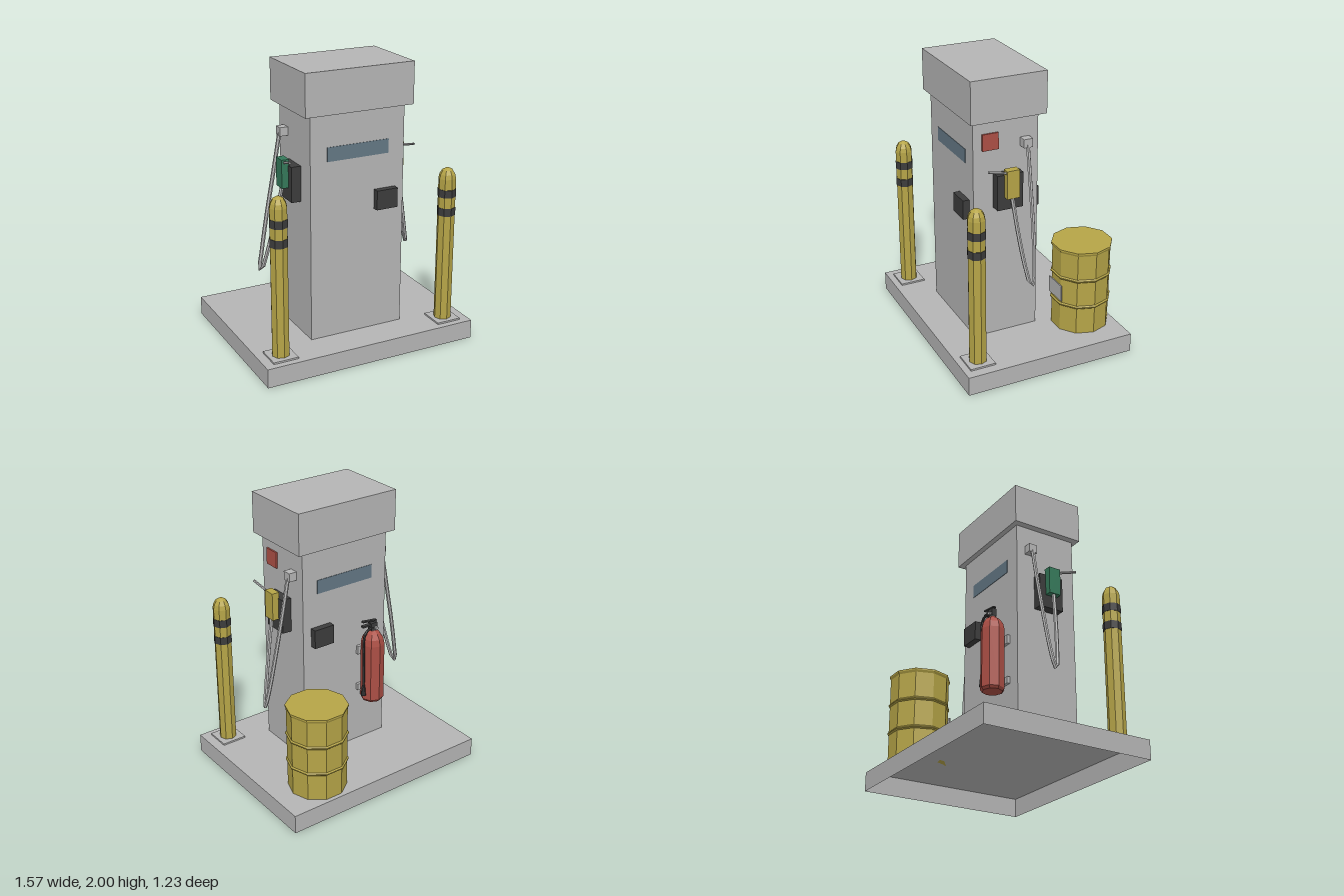
import * as THREE from 'three';

export function createModel() {
  const root = new THREE.Group();
  const mat = (name, color) => {
    const m = new THREE.MeshStandardMaterial({ color, flatShading: true, side: THREE.DoubleSide });
    m.name = name;
    return m;
  };
  const grey = mat('grey metal', 0xb4b4b4);
  const yellow = mat('safety yellow', 0xb5a447);
  const dark = mat('dark rubber', 0x3c3c3c);
  const red = mat('red paint', 0xac4f45);
  const green = mat('green plastic', 0x35795a);
  const glass = mat('display glass', 0x637784);

  const add = (name, geo, m, x = 0, y = 0, z = 0, parent = root) => {
    const mesh = new THREE.Mesh(geo, m);
    mesh.name = name;
    mesh.position.set(x, y, z);
    parent.add(mesh);
    return mesh;
  };
  // Box given by its extents on each axis
  const box = (name, m, [x0, x1], [y0, y1], [z0, z1], parent = root) =>
    add(name, new THREE.BoxGeometry(Math.abs(x1 - x0), y1 - y0, Math.abs(z1 - z0)), m,
      (x0 + x1) / 2, (y0 + y1) / 2, (z0 + z1) / 2, parent);
  const lathe = (pts, sides) =>
    new THREE.LatheGeometry(pts.map(([r, y]) => new THREE.Vector2(r, y)), sides);
  const tube = (pts, r, segs, sides = 6) =>
    new THREE.TubeGeometry(new THREE.CatmullRomCurve3(pts.map(p => new THREE.Vector3(...p))), segs, r, sides);
  const group = (name, x = 0, y = 0, z = 0) => {
    const g = new THREE.Group();
    g.name = name;
    g.position.set(x, y, z);
    root.add(g);
    return g;
  };

  // Island slab, open underneath
  const slab = new THREE.BoxGeometry(1.572, 0.135, 1.232);
  const idx = Array.from(slab.index.array);
  idx.splice(18, 6);
  slab.setIndex(idx);
  slab.clearGroups();
  add('island', slab, grey, 0, 0.0675, 0);

  // Pump cabinet and cap
  const cx = -0.005;
  box('cabinet', grey, [-0.352, 0.342], [0.135, 1.71], [-0.098, 0.37]);
  box('cap', grey, [-0.4, 0.392], [1.71, 2], [-0.136, 0.404]);

  // Displays and card readers on both faces
  for (const [z, s] of [[0.37, 1], [-0.098, -1]]) {
    box('display', glass, [-0.23, 0.225], [1.39, 1.488], [z - 0.003 * s, z + 0.003 * s]);
    box('cardReader', dark, [0.12, 0.277], [1.012, 1.148], [z, z + 0.046 * s]);
  }
  box('redSign', red, [0.342, 0.354], [1.505, 1.62], [0.192, 0.307]);

  // Hose, holder and nozzle on each side
  for (const [s, nozzleColour] of [[1, yellow], [-1, green]]) {
    const g = group(s > 0 ? 'leftHoseSet' : 'rightHoseSet', cx);
    box('nozzleHolder', dark, [s * 0.345, s * 0.416], [1.093, 1.34], [0.042, 0.228], g);
    box('nozzleBody', nozzleColour, [s * 0.408, s * 0.463], [1.185, 1.382], [0.09, 0.18], g);
    box('hoseOutlet', grey, [s * 0.345, s * 0.405], [1.497, 1.557], [-0.032, 0.032], g);
    add('spout', tube([[s * 0.437, 1.35, 0.13], [s * 0.449, 1.378, 0.225], [s * 0.462, 1.402, 0.313]], 0.009, 4), grey, 0, 0, 0, g);
    add('hose', tube([
      [s * 0.395, 1.515, 0], [s * 0.445, 1.25, 0.003], [s * 0.505, 0.95, 0.01],
      [s * 0.553, 0.7, 0.024], [s * 0.576, 0.585, 0.04], [s * 0.572, 0.575, 0.055],
      [s * 0.545, 0.68, 0.08], [s * 0.495, 0.92, 0.112], [s * 0.44, 1.2, 0.137],
    ], 0.014, 32), grey, 0, 0, 0, g);
  }

  // Bollards with dark bands
  for (const x of [-0.632, 0.628]) {
    const g = group('bollard', x, 0, 0.48);
    box('bollardPlate', grey, [-0.09, 0.09], [0.135, 0.147], [-0.09, 0.09], g);
    add('bollardPost', lathe([[0.061, 0.147], [0.061, 1.185], [0.054, 1.215], [0.037, 1.243], [0.017, 1.255], [0, 1.258]], 8), yellow, 0, 0, 0, g);
    for (const y of [0.95, 1.082])
      add('bollardBand', new THREE.CylinderGeometry(0.064, 0.064, 0.056, 8), dark, 0, y, 0, g);
  }

  // Oil drum with rolled ribs and a label
  const drum = group('drum', 0.448, 0, -0.395);
  add('drumBody', lathe([
    [0, 0.135], [0.202, 0.135], [0.203, 0.328], [0.213, 0.336], [0.213, 0.343], [0.204, 0.352],
    [0.204, 0.532], [0.213, 0.54], [0.213, 0.547], [0.204, 0.556],
    [0.205, 0.735], [0.213, 0.75], [0.213, 0.761], [0, 0.761],
  ], 10), yellow, 0, 0, 0, drum).rotation.y = Math.PI / 10;
  box('drumLabel', grey, [-0.087, 0.087], [0.37, 0.487], [0.194, 0.201], drum);

  // Fire extinguisher hung on the back
  const ext = group('extinguisher', -0.183, 0, -0.187);
  add('extinguisherBody', lathe([
    [0, 0.497], [0.07, 0.497], [0.083, 0.515], [0.083, 0.94], [0.073, 0.985], [0.05, 1.02], [0.022, 1.04], [0, 1.04],
  ], 8), red, 0, 0, 0, ext);
  add('extinguisherNeck', new THREE.CylinderGeometry(0.018, 0.022, 0.04, 8), grey, 0, 1.05, 0, ext);
  box('valve', dark, [-0.022, 0.03], [1.045, 1.1], [-0.02, 0.018], ext);
  box('carryHandle', dark, [0.0, 0.095], [1.08, 1.093], [-0.013, 0.013], ext);
  add('squeezeLever', new THREE.BoxGeometry(0.12, 0.01, 0.022), dark, 0.035, 1.117, 0, ext).rotation.z = 0.12;
  const gauge = add('gauge', new THREE.CylinderGeometry(0.013, 0.013, 0.022, 8), grey, -0.008, 1.06, -0.026, ext);
  gauge.rotation.x = Math.PI / 2;
  add('extinguisherHose', tube([
    [0.01, 1.06, -0.015], [0.06, 1.065, -0.025], [0.093, 1.03, -0.027], [0.096, 0.9, -0.025], [0.096, 0.62, -0.025],
  ], 0.009, 16), dark, 0, 0, 0, ext);
  add('extinguisherHorn', new THREE.CylinderGeometry(0.011, 0.018, 0.08, 8), dark, 0.096, 0.6, -0.025, ext);
  for (const [y0, y1] of [[0.55, 0.597], [0.838, 0.9]])
    box('wallBracket', grey, [-0.075, 0.075], [y0, y1], [0.067, 0.09], ext);

  return root;
}
